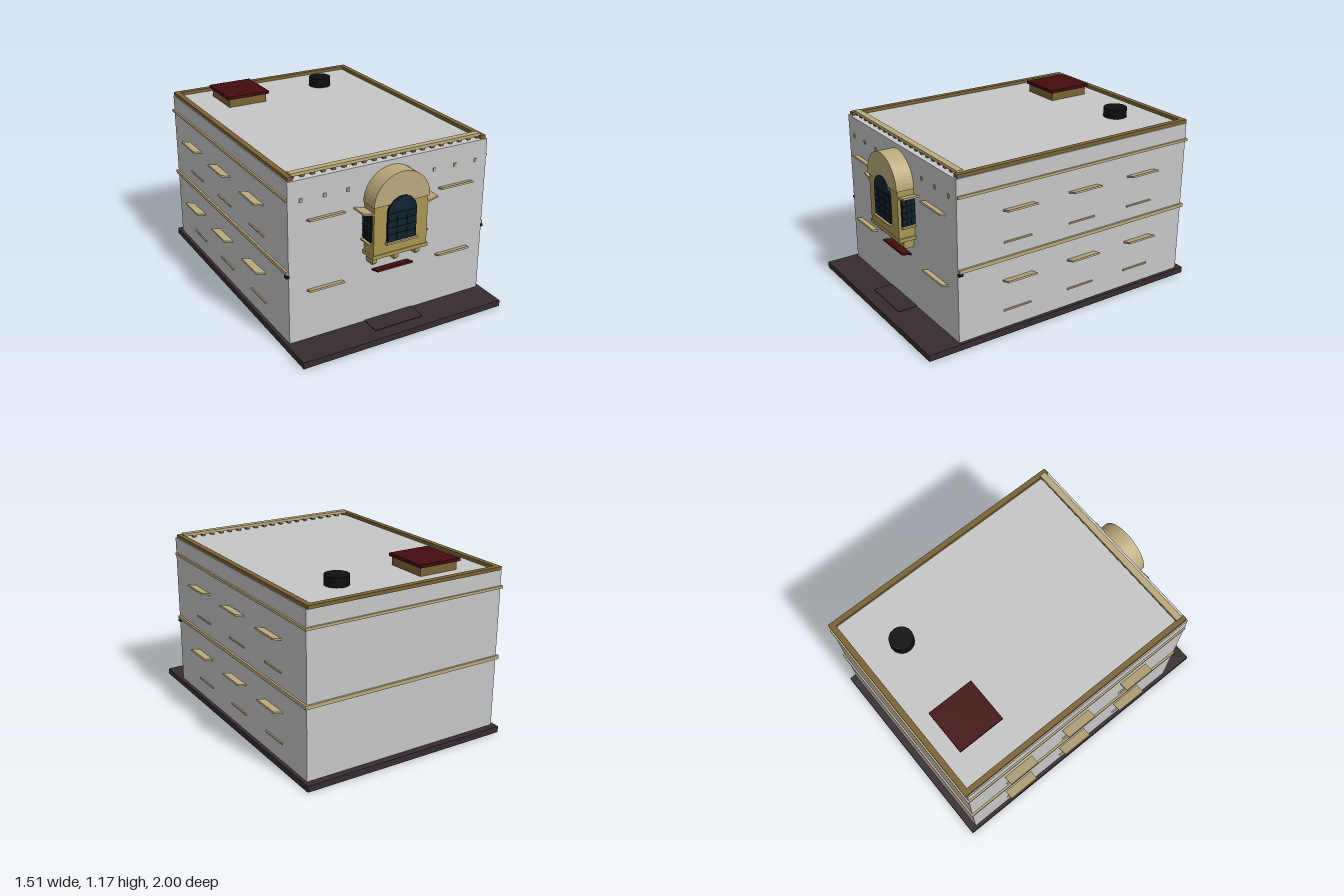
import * as THREE from 'three';

const mat = (name, color) => Object.assign(new THREE.MeshStandardMaterial({ color }), { name });

export function createModel() {
  const wall = mat('wall grey', 0xc6c6c6);
  const trim = mat('pale sandstone', 0xbaa97c);
  const ochre = mat('ochre stone', 0xa99754);
  const brown = mat('parapet brown', 0x7a6234);
  const red = mat('dark red', 0x430c10);
  const paving = mat('dark paving', 0x362c30);
  const black = mat('black metal', 0x0f0f10);
  const glass = mat('dark glass', 0x0e2430);

  const root = new THREE.Group();
  root.name = 'building';
  const add = (name, geo, m, parent = root) => {
    const mesh = new THREE.Mesh(geo, m);
    mesh.name = name;
    parent.add(mesh);
    return mesh;
  };
  // Box given by its minimum and maximum on each axis
  const box = (name, m, x0, x1, y0, y1, z0, z1, parent = root) => {
    const mesh = add(name, new THREE.BoxGeometry(x1 - x0, y1 - y0, z1 - z0), m, parent);
    mesh.position.set((x0 + x1) / 2, (y0 + y1) / 2, (z0 + z1) / 2);
    return mesh;
  };
  // Thin slab hinged on a wall, its free edge raised; turn faces it outwards
  const awning = (name, m, width, depth, x, y, z, turn = 0) => {
    const geo = new THREE.BoxGeometry(width, 0.011, depth);
    geo.translate(0, 0, depth / 2).rotateX(-0.25).rotateY(turn);
    add(name, geo, m).position.set(x, y, z);
  };
  // Semicircular arch on top of a rectangle, extruded along z
  const arch = (r, bottom, spring, z0, z1, segments) => {
    const s = new THREE.Shape();
    s.moveTo(-r, bottom);
    if (bottom < spring) s.lineTo(r, bottom);
    s.lineTo(r, spring);
    s.absarc(0, spring, r, 0, Math.PI, false);
    const geo = new THREE.ExtrudeGeometry(s, { depth: z1 - z0, bevelEnabled: false, curveSegments: segments });
    return geo.translate(0, 0, z0);
  };

  // Ground slab, body and doorstep
  const W = 0.693, F = 0.783, B = -0.955;
  box('groundSlab', paving, -0.715, 0.715, 0.001, 0.042, -1, 1);
  box('wallBody', wall, -W, W, 0, 1.09, B, F);
  box('doorstep', paving, -0.173, 0.173, 0.04, 0.047, F, 0.915);

  // Parapet round the roof, with a toothed cornice in front
  for (const s of [-1, 1]) {
    const x = s * 0.668;
    box('sideParapet', brown, x - 0.018, x + 0.018, 1.09, 1.112, B - 0.005, 0.772);
  }
  box('backParapet', brown, -0.685, 0.685, 1.09, 1.112, B - 0.008, -0.926);
  box('frontCornice', trim, -0.658, 0.658, 1.105, 1.124, 0.714, 0.756);
  for (let i = 0; i < 20; i++) {
    const x = -0.646 + i * 0.068;
    box('corniceTooth', brown, x - 0.012, x + 0.012, 1.089, 1.106, 0.718, 0.75);
  }

  // String courses along the sides and back
  for (const [y0, y1, out] of [[0.503, 0.527, 0.013], [0.97, 0.987, 0.011]]) {
    for (const s of [-1, 1]) {
      const a = s * (W - 0.01), b = s * (W + out);
      box('sideCourse', trim, Math.min(a, b), Math.max(a, b), y0, y1, B - out, 0.777);
    }
    box('backCourse', trim, -W, W, y0, y1, B - out, B + 0.01);
  }
  for (const s of [-1, 1]) {
    const x = s * 0.697;
    box('cornerBlock', black, x - 0.01, x + 0.01, 0.486, 0.502, 0.755, 0.784);
  }

  // Window canopies and sills on the sides and front
  for (const s of [-1, 1]) {
    for (const z of [0.366, -0.115, -0.576]) {
      for (const [y, sill] of [[0.827, 0.62], [0.367, 0.162]]) {
        awning('sideCanopy', trim, 0.213, 0.064, s * W, y, z, s * Math.PI / 2);
        const x = s * W;
        box('sideSill', trim, x - 0.008, x + 0.008, sill - 0.005, sill + 0.005, z - 0.1, z + 0.1);
      }
    }
    for (const y of [0.832, 0.375]) awning('frontCanopy', trim, 0.234, 0.044, s * 0.456, y, F, 0);
    for (const x of [0.302, 0.455, 0.609])
      box('wallVent', trim, s * x - 0.009, s * x + 0.009, 0.952, 0.976, F - 0.005, F + 0.006);
  }
  awning('doorCanopy', red, 0.256, 0.07, 0, 0.394, F, 0);

  // Bay window: box, ledge, arched hood and brackets
  const bay = new THREE.Group();
  bay.name = 'bayWindow';
  root.add(bay);
  box('bayBody', ochre, -0.187, 0.187, 0.548, 0.864, F - 0.01, 0.892, bay);
  box('bayLedge', ochre, -0.195, 0.195, 0.526, 0.55, F - 0.01, 0.897, bay);
  add('bayHood', arch(0.195, 0.864, 0.864, F - 0.01, 0.9, 14), trim, bay);
  for (const x of [-0.153, 0, 0.153]) {
    box('bracket', ochre, x - 0.016, x + 0.016, 0.475, 0.528, F - 0.01, 0.853, bay);
    box('bracketFoot', ochre, x - 0.012, x + 0.012, 0.463, 0.476, F - 0.01, 0.843, bay);
  }

  // Front arched window with glazing bars
  add('windowFrame', arch(0.101, 0.623, 0.807, 0.89, 0.904, 14), black, bay);
  add('windowGlass', arch(0.096, 0.63, 0.81, 0.898, 0.906, 14), glass, bay);
  for (const x of [-0.035, 0.035]) box('windowBar', black, x - 0.003, x + 0.003, 0.63, 0.81, 0.9, 0.908, bay);
  for (const y of [0.672, 0.716, 0.76, 0.807])
    box('windowBar', black, -0.096, 0.096, y - 0.003, y + 0.003, 0.9, 0.908, bay);
  box('windowSill', trim, -0.11, 0.11, 0.612, 0.623, 0.885, 0.918, bay);

  // Side windows of the bay, each with canopy and sill
  for (const s of [-1, 1]) {
    const plate = (name, m, out, y0, y1, z0, z1) => {
      const a = s * 0.18, b = s * out;
      box(name, m, Math.min(a, b), Math.max(a, b), y0, y1, z0, z1, bay);
    };
    plate('sideWindowFrame', black, 0.198, 0.63, 0.812, F, 0.872);
    plate('sideWindowGlass', glass, 0.2, 0.638, 0.804, F, 0.865);
    for (const z of [0.81, 0.838]) plate('sideWindowBar', black, 0.202, 0.638, 0.804, z - 0.003, z + 0.003);
    for (const y of [0.68, 0.721, 0.762]) plate('sideWindowBar', black, 0.202, y - 0.003, y + 0.003, F, 0.865);
    plate('sideWindowSill', trim, 0.212, 0.618, 0.628, F, 0.875);
    awning('bayCanopy', trim, 0.106, 0.079, s * 0.186, 0.818, 0.837, s * Math.PI / 2);
  }

  // Roof hatch and round vent
  box('hatchBase', brown, -0.456, -0.183, 1.08, 1.148, -0.812, -0.525);
  box('hatchLid', red, -0.47, -0.168, 1.147, 1.167, -0.829, -0.511);
  add('roofVent', new THREE.CylinderGeometry(0.077, 0.077, 0.07, 20), black).position.set(0.316, 1.117, -0.671);

  return root;
}
